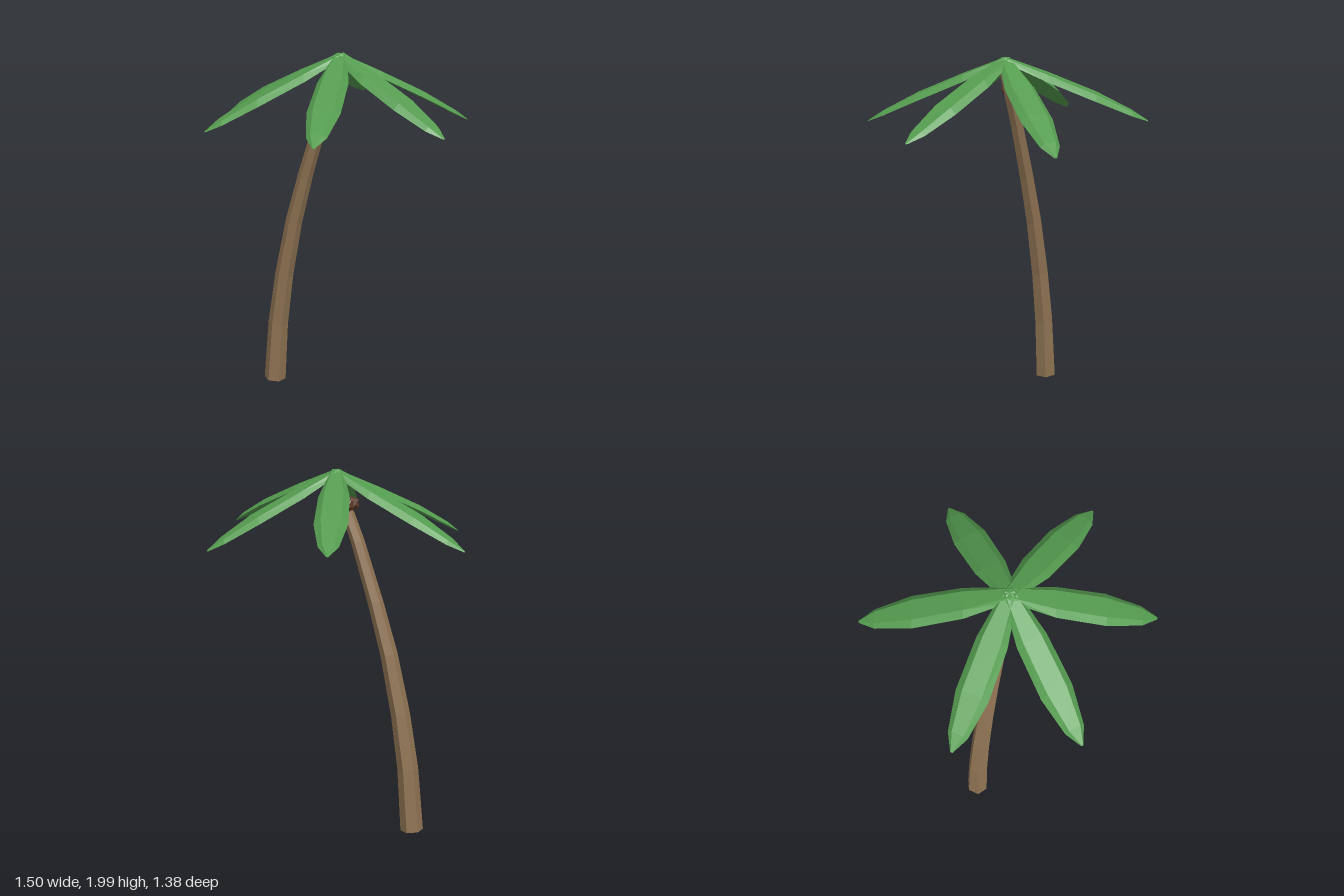
import * as THREE from 'three';

// Skin a list of equal rings (anticlockwise seen from the far end), capped at both ends
function loft(rings) {
  const n = rings[0].length;
  const index = [];
  for (let i = 0; i < rings.length - 1; i++) {
    for (let j = 0; j < n; j++) {
      const k = (j + 1) % n;
      const a = i * n + j, b = i * n + k;
      index.push(a, b, b + n, a, b + n, a + n);
    }
  }
  const last = (rings.length - 1) * n;
  for (let j = 1; j < n - 1; j++) {
    index.push(0, j + 1, j);
    index.push(last, last + j, last + j + 1);
  }
  const geometry = new THREE.BufferGeometry().setFromPoints(rings.flat());
  geometry.setIndex(index);
  const flat = geometry.toNonIndexed();
  flat.computeVertexNormals();
  return flat;
}

const material = (color) => new THREE.MeshStandardMaterial({ color, flatShading: true });

// Leaning, tapering six-sided trunk
function trunkGeometry() {
  const path = [
    [-0.48, 0.005], [-0.45, 0.36], [-0.4, 0.67], [-0.325, 1.0],
    [-0.24, 1.28], [-0.13, 1.6], [0.005, 1.93],
  ].map(([x, y]) => new THREE.Vector3(x, y, 0));
  const rings = path.map((p, i) => {
    const before = path[Math.max(i - 1, 0)];
    const after = path[Math.min(i + 1, path.length - 1)];
    const along = after.clone().sub(before).normalize();
    const radius = THREE.MathUtils.lerp(0.063, 0.032, i / (path.length - 1));
    return Array.from({ length: 6 }, (_, j) => {
      const a = Math.PI / 6 + j * Math.PI / 3;
      const c = Math.cos(a) * radius;
      return new THREE.Vector3(p.x + along.y * c, p.y - along.x * c, 0.005 - Math.sin(a) * radius);
    });
  });
  return loft(rings);
}

// Leaf blade: flat top, bevelled sides and a shallow keel
const SECTION = [[1, -0.6], [0.6, 0.7], [-0.6, 0.7], [-1, -0.6], [0, -0.9]];
// Fraction of length, fraction of drop, half width, half thickness
const STATIONS = [
  [0, 0, 0.04, 0.018], [0.3, 0.28, 0.083, 0.026], [0.64, 0.6, 0.088, 0.025],
  [0.89, 0.87, 0.053, 0.016], [1, 1, 0.006, 0.003],
];

function frondGeometry(x, y, z) {
  const start = new THREE.Vector3(0, 1.975, 0);
  const side = new THREE.Vector3(z, 0, -x).normalize();
  const rings = STATIONS.map(([t, drop, width, thick]) =>
    SECTION.map(([s, u]) => new THREE.Vector3(
      x * t + side.x * s * width,
      THREE.MathUtils.lerp(start.y, y, drop) + u * thick,
      z * t + side.z * s * width,
    )));
  return loft(rings);
}

export function createModel() {
  const model = new THREE.Group();
  model.name = 'palmTree';

  const trunk = new THREE.Mesh(trunkGeometry(), material(0x8f7353));
  trunk.name = 'trunk';
  model.add(trunk);

  // Six drooping fronds, given by their tips
  const fronds = new THREE.Group();
  fronds.name = 'fronds';
  const green = material(0x559c50);
  const tips = [
    [-0.34, 1.655, -0.69], [0.46, 1.59, -0.57], [0.745, 1.635, 0.135],
    [0.33, 1.63, 0.68], [-0.445, 1.605, 0.605], [-0.75, 1.6, 0.03],
  ];
  tips.forEach((tip, i) => {
    const frond = new THREE.Mesh(frondGeometry(...tip), green);
    frond.name = `frond${i + 1}`;
    fronds.add(frond);
  });
  model.add(fronds);

  // Coconuts under the crown
  const brown = material(0x5a3a2a);
  [[-0.078, 1.802, 0.03], [-0.082, 1.805, -0.035]].forEach((p, i) => {
    const coconut = new THREE.Mesh(new THREE.IcosahedronGeometry(0.044, 0), brown);
    coconut.name = `coconut${i + 1}`;
    coconut.position.set(...p);
    coconut.rotation.set(0.4, i * 0.9, 0.3);
    model.add(coconut);
  });

  return model;
}
